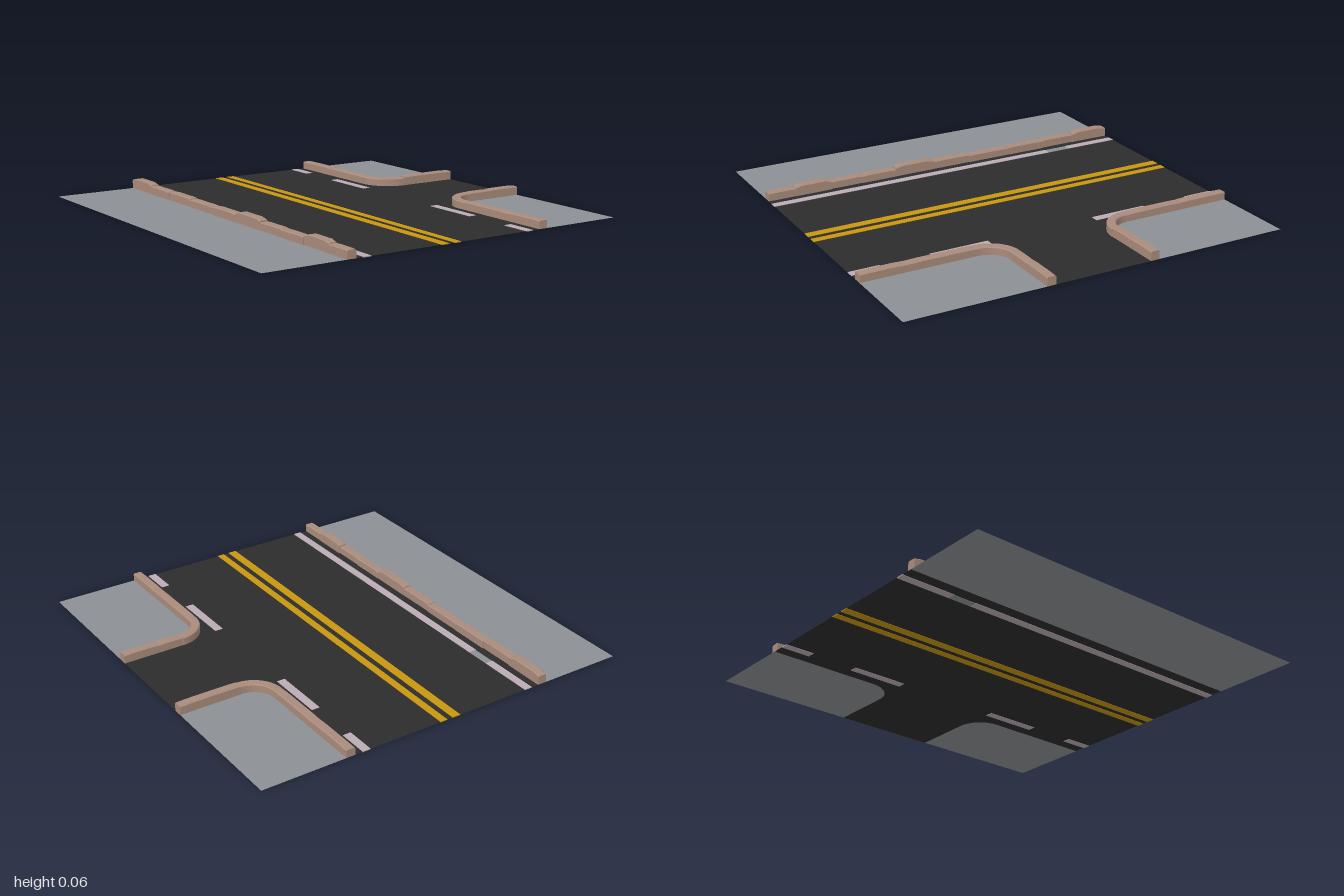
import * as THREE from 'three';
import { toCreasedNormals } from 'three/addons/utils/BufferGeometryUtils.js';

const material = (name, color) => {
  const m = new THREE.MeshStandardMaterial({ color, side: THREE.DoubleSide });
  m.name = name;
  return m;
};

const GROUND = 0.002; // ground sheet height, paint straddles it

// Sweeps a chamfered kerb section along points [x, z, height]
function kerbGeometry(points, width = 0.046, c = 0.005) {
  const w = width / 2, pos = [], index = [], n = points.length;
  points.forEach(([x, z, h], i) => {
    const a = points[Math.max(i - 1, 0)], b = points[Math.min(i + 1, n - 1)];
    const len = Math.hypot(b[0] - a[0], b[1] - a[1]);
    const sx = -(b[1] - a[1]) / len, sz = (b[0] - a[0]) / len;
    for (const [s, y] of [[-w, GROUND], [-w, h - c], [c - w, h], [w - c, h], [w, h - c], [w, GROUND]])
      pos.push(x + sx * s, y, z + sz * s);
  });
  for (let i = 0; i < n - 1; i++) {
    for (let j = 0; j < 5; j++) {
      const a = i * 6 + j;
      index.push(a, a + 1, a + 7, a, a + 7, a + 6);
    }
  }
  const e = (n - 1) * 6;
  for (let j = 1; j < 5; j++) index.push(0, j + 1, j, e, e + j, e + j + 1);
  const g = new THREE.BufferGeometry();
  g.setAttribute('position', new THREE.Float32BufferAttribute(pos, 3));
  g.setIndex(index);
  return toCreasedNormals(g, 0.5);
}

// Straight stone, with its worn ends a little lower than the middle
function stonePoints(x0, z0, x1, z1, h) {
  const drop = h > 0.05 ? 0.009 : 0.002;
  return [0, 0.18, 0.5, 0.82, 1].map((t, i) =>
    [x0 + (x1 - x0) * t, z0 + (z1 - z0) * t, h - (i % 4 ? 0 : drop)]);
}

export function createModel() {
  const model = new THREE.Group();
  model.name = 'roadJunction';
  const asphalt = material('asphalt', 0x2c2c2c);
  const concrete = material('pavement grey', 0x8c9094);
  const yellow = material('yellow paint', 0xc8960f);
  const white = material('pale paint', 0xbaabb5);
  const stone = material('kerb stone', 0xa98b7b);

  const add = (name, geometry, mat) => {
    const mesh = new THREE.Mesh(geometry, mat);
    mesh.name = name;
    model.add(mesh);
    return mesh;
  };
  const flat = (name, shape, mat) => {
    const g = new THREE.ShapeGeometry(shape, 10);
    g.rotateX(-Math.PI / 2);
    g.translate(0, GROUND, 0);
    add(name, g, mat);
  };

  // Ground: road with a side street, and three pavements meeting it under the kerbs
  const L = -0.545, R = 0.543, S = 0.275, CX = 0.68, CZ = 0.41, r = CX - R;
  const road = new THREE.Shape();
  road.moveTo(L, -1);
  road.lineTo(R, -1);
  road.lineTo(R, -CZ);
  road.absarc(CX, -CZ, r, Math.PI, Math.PI / 2, true);
  road.lineTo(1, -S);
  road.lineTo(1, S);
  road.lineTo(CX, S);
  road.absarc(CX, CZ, r, -Math.PI / 2, -Math.PI, true);
  road.lineTo(R, 1);
  road.lineTo(L, 1);
  flat('roadSurface', road, asphalt);

  const leftPavement = new THREE.Shape();
  leftPavement.moveTo(-1, -1);
  leftPavement.lineTo(L, -1);
  leftPavement.lineTo(L, 1);
  leftPavement.lineTo(-1, 1);
  flat('longPavement', leftPavement, concrete);

  for (const s of [1, -1]) {
    const corner = new THREE.Shape();
    corner.moveTo(1, s);
    corner.lineTo(R, s);
    corner.lineTo(R, s * CZ);
    corner.absarc(CX, s * CZ, r, Math.PI, -s * Math.PI / 2, s < 0);
    corner.lineTo(1, s * S);
    flat(s > 0 ? 'backCornerPavement' : 'frontCornerPavement', corner, concrete);
  }

  // Painted lines: [name, x0, x1, z0, z1, material]
  const lines = [
    ['centreLine', -0.06, -0.016, -1, 1, yellow],
    ['centreLine', 0.014, 0.052, -1, 1, yellow],
    ['edgeLine', -0.485, -0.443, -1, -0.71, white],
    ['wornPatch', -0.482, -0.443, -0.71, -0.585, concrete],
    ['edgeLine', -0.485, -0.443, -0.585, 1, white],
    ['laneDash', 0.438, 0.48, -1, -0.845, white],
    ['laneDash', 0.438, 0.48, -0.595, -0.295, white],
    ['laneDash', 0.438, 0.48, 0.285, 0.59, white],
    ['laneDash', 0.438, 0.48, 0.845, 1, white],
  ];
  for (const [name, x0, x1, z0, z1, mat] of lines) {
    const paint = add(name, new THREE.BoxGeometry(x1 - x0, 0.004, z1 - z0), mat);
    paint.position.set((x0 + x1) / 2, GROUND, (z0 + z1) / 2);
  }

  // Long kerb: uneven stones with slightly different heights and offsets
  const joints = [-1, -0.785, -0.59, -0.375, -0.14, 0.07, 0.295, 0.485, 0.66, 0.855, 1];
  const heights = [0.057, 0.046, 0.045, 0.042, 0.045, 0.057, 0.043, 0.042, 0.056, 0.045];
  heights.forEach((h, i) => {
    const x = -0.547 + [0, -0.003, 0.002][i % 3] - (i === 5 ? 0.004 : 0);
    add('longKerbStone', kerbGeometry(stonePoints(x, joints[i], x, joints[i + 1], h)), stone);
  });

  // Corner kerbs: straight stones, a rounded corner stone and the side street stones
  for (const s of [1, -1]) {
    const name = s > 0 ? 'frontCornerKerb' : 'backCornerKerb';
    const split = s > 0 ? 0.775 : 0.725;
    const stones = [
      stonePoints(R, s, R, s * split, 0.044),
      stonePoints(R, s * split, R, s * CZ, 0.043),
    ];
    const bend = [];
    for (let i = 0; i <= 10; i++) {
      const a = (i / 10) * Math.PI / 2;
      bend.push([CX - r * Math.cos(a), s * (CZ - r * Math.sin(a)), 0.041 + 0.003 * i / 10]);
    }
    stones.push(bend);
    if (s > 0) {
      stones.push(stonePoints(CX, S, 0.81, S, 0.046), stonePoints(0.81, S, 1, S, 0.048));
    } else {
      stones.push(stonePoints(CX, -S, 1, -S, 0.05));
    }
    for (const p of stones) add(name + 'Stone', kerbGeometry(p), stone);
  }
  return model;
}
